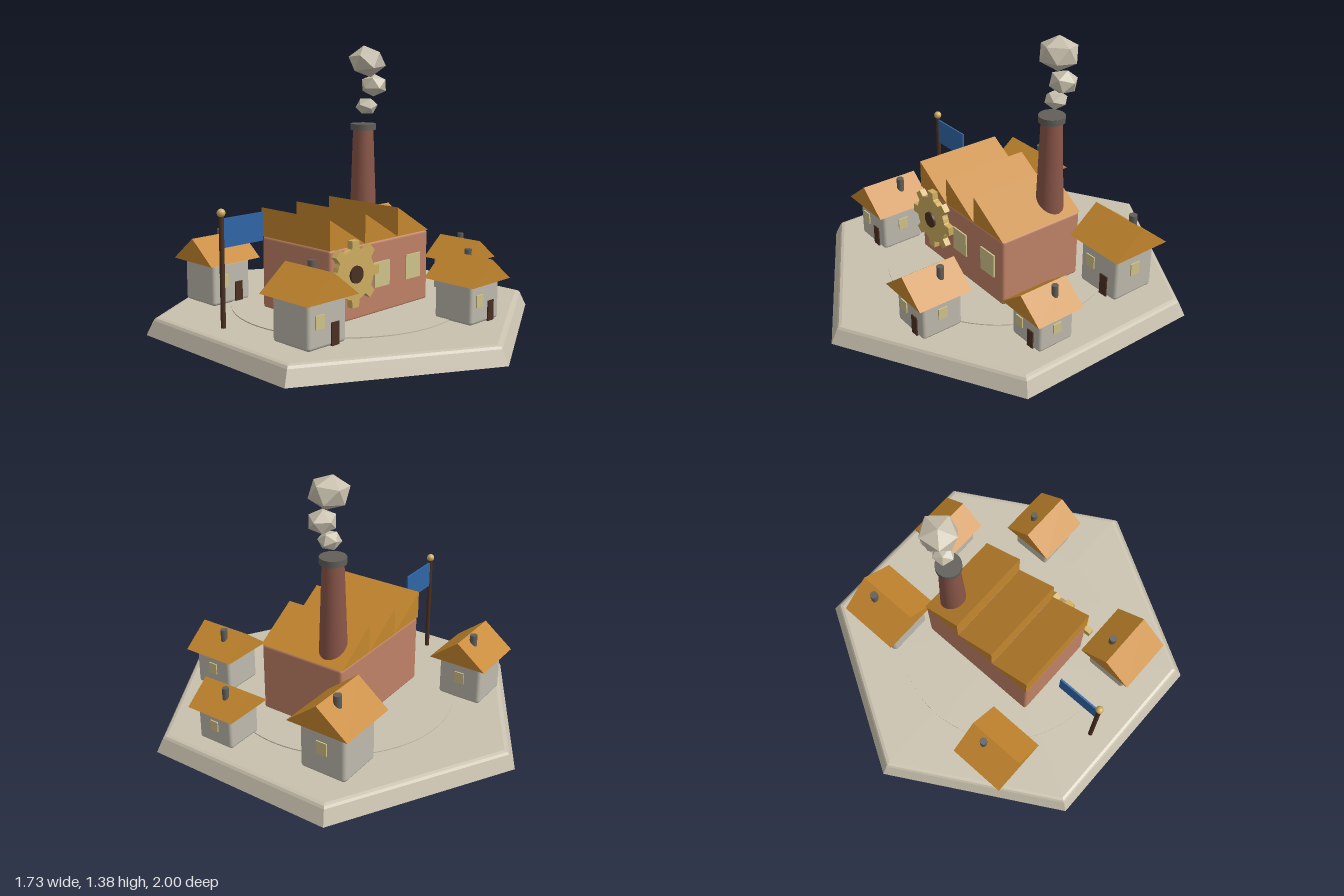
import * as THREE from 'three';
import { RoundedBoxGeometry } from 'three/addons/geometries/RoundedBoxGeometry.js';

const mat = (name, color) => {
  const m = new THREE.MeshStandardMaterial({ color });
  m.name = name;
  return m;
};

export function createModel() {
  const model = new THREE.Group();
  model.name = 'factoryVillage';

  const stone = mat('paleStone', 0xc9c1ae);
  const plaster = mat('plaster', 0xbfbaad);
  const brick = mat('brick', 0xc08266);
  const darkBrick = mat('darkBrick', 0x8a5648);
  const roofing = mat('ochreRoof', 0xc5872e);
  const brass = mat('brass', 0xcfae60);
  const glass = mat('paleGlass', 0xd0c389);
  const wood = mat('darkWood', 0x4a3022);
  const iron = mat('iron', 0x625f59);
  const blue = mat('flagBlue', 0x2f66a6);

  const add = (name, geo, material, x = 0, y = 0, z = 0, parent = model) => {
    const mesh = new THREE.Mesh(geo, material);
    mesh.name = name;
    mesh.position.set(x, y, z);
    parent.add(mesh);
    return mesh;
  };
  const box = (w, h, d) => new THREE.BoxGeometry(w, h, d);
  const flat = (geo) => {
    const g = geo.toNonIndexed();
    g.computeVertexNormals();
    return g;
  };
  // Prism from an x-y outline, centred along z
  const prism = (points, depth) => {
    const shape = new THREE.Shape(points.map(([x, y]) => new THREE.Vector2(x, y)));
    return new THREE.ExtrudeGeometry(shape, { depth, bevelEnabled: false }).translate(0, 0, -depth / 2);
  };

  // Hexagonal base with a softened rim and a thin round plaza
  const ground = 0.086;
  const rim = [[0, 0], [1, 0], [0.965, 0.07], [0.955, 0.081], [0.938, ground], [0, ground]];
  add('base', flat(new THREE.LatheGeometry(rim.map(([r, y]) => new THREE.Vector2(r, y)), 6)), stone);
  add('plaza', new THREE.CylinderGeometry(0.58, 0.58, 0.01, 64), stone, 0, 0.086, 0);

  // Factory hall with sawtooth roof and front windows
  const factory = new THREE.Group();
  factory.name = 'factory';
  model.add(factory);
  add('factoryWalls', new RoundedBoxGeometry(0.7, 0.365, 0.48, 3, 0.015), brick, 0, 0.2675, 0, factory);
  const tooth = 0.7 / 3;
  for (let i = 0; i < 3; i++) {
    add('sawtoothRoof', prism([[0, 0], [tooth, 0], [0, 0.145]], 0.485), roofing, -0.35 + i * tooth, 0.449, 0, factory);
  }
  for (const x of [0, 0.23]) add('factoryWindow', box(0.108, 0.125, 0.009), glass, x, 0.282, 0.2435, factory);

  // Wall gear with eight tapered teeth
  const outline = [];
  for (let i = 0; i < 8; i++) {
    const a = (i * Math.PI) / 4;
    for (const [da, r] of [[-0.24, 0.124], [-0.2, 0.126], [-0.135, 0.163], [0.135, 0.163], [0.2, 0.126], [0.24, 0.124], [0.39, 0.124]]) {
      outline.push([r * Math.cos(a + da), r * Math.sin(a + da)]);
    }
  }
  add('gear', prism(outline, 0.032), brass, -0.215, 0.322, 0.26, factory);
  const hub = add('gearHub', new THREE.CylinderGeometry(0.042, 0.042, 0.045, 24), wood, -0.215, 0.322, 0.264, factory);
  hub.rotation.x = Math.PI / 2;

  // Tall chimney and smoke puffs
  add('chimneyStack', new THREE.CylinderGeometry(0.053, 0.073, 0.56, 32), darkBrick, 0.253, 0.67, -0.125);
  add('chimneyCap', new THREE.CylinderGeometry(0.066, 0.066, 0.032, 32), iron, 0.253, 0.96, -0.125);
  const puffs = [
    [0.278, 1.065, -0.125, 0.06, 0.4],
    [0.33, 1.172, -0.122, 0.075, 1.3],
    [0.285, 1.297, -0.128, 0.104, 2.3],
  ];
  for (const [x, y, z, r, turn] of puffs) {
    const geo = new THREE.IcosahedronGeometry(r, 0).rotateX(turn).rotateY(turn * 1.7).scale(1, 0.8, 0.95);
    add('smokePuff', flat2(geo), stone, x, y, z);
  }

  // Flag on a pole
  add('flagPole', new THREE.CylinderGeometry(0.012, 0.012, 0.54, 16), wood, -0.703, 0.355, -0.108);
  add('flagFinial', new THREE.SphereGeometry(0.02, 20, 14), brass, -0.703, 0.63, -0.108);
  add('flag', box(0.235, 0.138, 0.009), blue, -0.576, 0.534, -0.108);

  // Cottages: centre, scale, wall height, roof turned or not
  const cottage = (x, z, s, wallHeight, turned) => {
    const g = new THREE.Group();
    g.name = 'cottage';
    g.position.set(x, ground, z);
    model.add(g);
    const w = 0.233 * s, front = w / 2 + 0.002, roofHeight = 0.122 * s;
    add('cottageWalls', new RoundedBoxGeometry(w, wallHeight + 0.004, w, 3, 0.018 * s), plaster, 0, wallHeight / 2, 0, g);
    const half = 0.155 * s;
    const roof = add('gableRoof', prism([[-half, 0], [half, 0], [0, roofHeight]], half * 2), roofing, 0, wallHeight, 0, g);
    if (turned) roof.rotation.y = Math.PI / 2;
    add('cottageChimney', new THREE.CylinderGeometry(0.019 * s, 0.019 * s, 0.075 * s, 16), iron,
      0.052 * s, wallHeight + roofHeight - 0.022 * s, -0.036 * s, g);
    add('cottageDoor', box(0.045 * s, 0.105 * s, 0.009), wood, 0.042 * s, 0.0525 * s, front, g);
    const pane = box(0.053 * s, 0.062 * s, 0.009), paneY = wallHeight * 0.57;
    add('frontWindow', pane, glass, -0.05 * s, paneY, front, g);
    add('sideWindow', pane, glass, front, paneY, 0, g).rotation.y = Math.PI / 2;
  };
  cottage(-0.405, -0.533, 1, 0.215, true);
  cottage(0.528, -0.342, 1.08, 0.256, true);
  cottage(-0.552, 0.315, 1.01, 0.217, false);
  cottage(0.231, 0.587, 0.94, 0.194, false);
  cottage(0.635, 0.228, 0.86, 0.171, false);

  return model;
}

// Faceted normals for geometry that has no index
function flat2(geo) {
  geo.computeVertexNormals();
  return geo;
}
